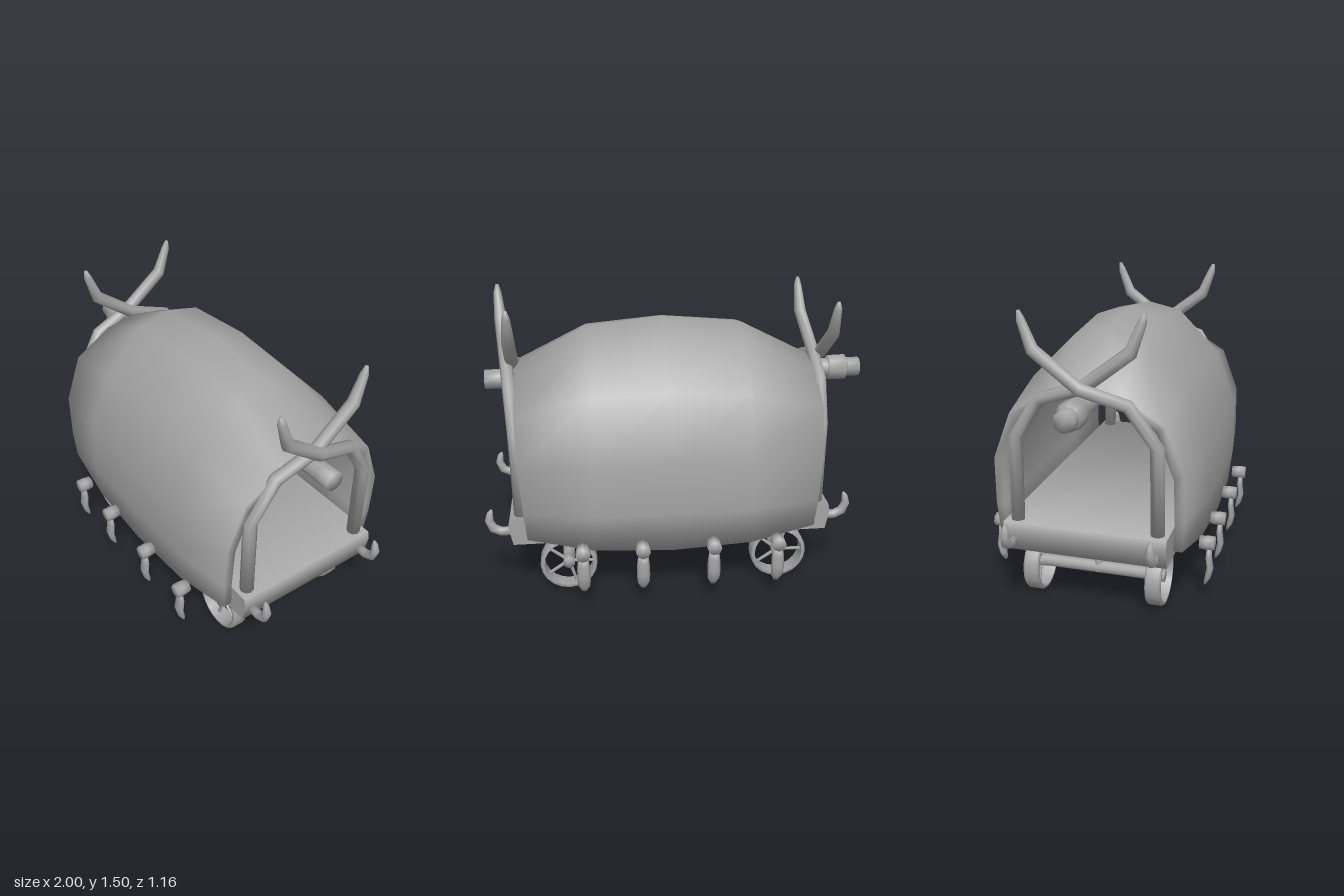
import * as THREE from 'three';
import { mergeGeometries, mergeVertices } from 'three/addons/utils/BufferGeometryUtils.js';

const grey = new THREE.MeshStandardMaterial({ color: 0xa3a3a3 });
const V = (x, y, z) => new THREE.Vector3(x, y, z);
const MID = 0.05; // x about which the two ends mirror

function add(parent, name, geometry) {
  const mesh = new THREE.Mesh(geometry, grey);
  mesh.name = name;
  parent.add(mesh);
  return mesh;
}

// Smooth normals weighted by corner angle, so thin rims count as much as broad faces
function smooth(g) {
  const pos = g.attributes.position, index = g.index.array;
  const sums = Array.from({ length: pos.count }, () => V(0, 0, 0));
  for (let i = 0; i < index.length; i += 3) {
    const ids = [index[i], index[i + 1], index[i + 2]];
    const p = ids.map((id) => V(0, 0, 0).fromBufferAttribute(pos, id));
    const normal = p[1].clone().sub(p[0]).cross(p[2].clone().sub(p[0])).normalize();
    ids.forEach((id, k) => {
      const e = p[(k + 1) % 3].clone().sub(p[k]), f = p[(k + 2) % 3].clone().sub(p[k]);
      sums[id].addScaledVector(normal, e.angleTo(f));
    });
  }
  g.setAttribute('normal', new THREE.Float32BufferAttribute(sums.flatMap((n) => n.normalize().toArray()), 3));
  return g;
}

// Skin over rows of points; closed rows wrap around
function loft(rows, closed) {
  const n = rows[0].length, index = [];
  for (let i = 0; i < rows.length - 1; i++) {
    for (let j = 0; j < (closed ? n : n - 1); j++) {
      const k = (j + 1) % n;
      const a = i * n + j, b = i * n + k, c = a + n, d = b + n;
      index.push(a, b, c, b, d, c);
    }
  }
  return new THREE.BufferGeometry().setFromPoints(rows.flat()).setIndex(index);
}

// Turned solid from [radius, height] pairs, bottom to top
const turned = (profile, sides) =>
  new THREE.LatheGeometry(profile.map(([r, y]) => new THREE.Vector2(r, y)), sides);

// Tapered limb along a bent path; ref is the axis across the bend
function limb(points, radii, ref, squash = 1, sides = 8) {
  const ring = (i, scale) => {
    const p = points[i];
    const before = points[Math.max(i - 1, 0)], after = points[Math.min(i + 1, points.length - 1)];
    const t = after.clone().sub(before).normalize();
    const b = t.clone().cross(ref).normalize();
    const n = b.clone().cross(t);
    return Array.from({ length: sides }, (_, j) => {
      const a = (j / sides) * Math.PI * 2, r = radii[i] * scale;
      return p.clone().addScaledVector(n, Math.cos(a) * r).addScaledVector(b, Math.sin(a) * r * squash);
    });
  };
  const rows = points.map((_, i) => ring(i, 1));
  rows.unshift(ring(0, 0.01));
  rows.push(ring(points.length - 1, 0.01));
  return smooth(loft(rows, true));
}

// Cover: a thick arched shell that bulges in the middle, smooth over its rims
function buildCover() {
  // half sections as [z, y] from the ridge down to the hem
  const middle = [[0, 1.38], [0.18, 1.335], [0.4, 1.1], [0.517, 0.79], [0.517, 0.5], [0.5, 0.29]];
  const quarter = [[0, 1.34], [0.178, 1.3], [0.395, 1.08], [0.51, 0.78], [0.51, 0.5], [0.49, 0.305]];
  const end = [[0, 1.15], [0.17, 1.12], [0.375, 0.995], [0.465, 0.76], [0.47, 0.52], [0.46, 0.37]];
  const stations = [
    { s: end, x: -0.768, lean: 0.035 }, { s: quarter, x: -0.4, lean: 0 }, { s: middle, x: 0, lean: 0 },
    { s: quarter, x: 0.4, lean: 0 }, { s: end, x: 0.768, lean: -0.035 },
  ];
  const section = ({ s, x, lean }, inset) => {
    const half = s.map(([z, y], i) => {
      const down = (s[0][1] - y) / (s[0][1] - s[5][1]);
      return V(MID + x + lean * down * down, y - (i < 5 ? inset * (1 - down) : 0), z * (1 - inset / 0.47));
    });
    const other = half.slice(1).reverse().map((p) => V(p.x, p.y, -p.z));
    return [...other, ...half];
  };
  const outer = stations.map((st) => section(st, 0));
  const inner = stations.map((st) => section(st, 0.045));
  const shell = loft(outer.map((row, i) => [...row, ...[...inner[i]].reverse()]), true);
  const rims = [loft([inner[0], outer[0]]), loft([outer[4], inner[4]])];
  return smooth(mergeVertices(mergeGeometries([shell, ...rims])));
}

// Deck: chamfered ends, rounded shading along its length, flat sides
function buildDeck() {
  const deck = new THREE.Group();
  deck.name = 'deck';
  const outline = [[-0.81, 0.315], [0.81, 0.315], [0.83, 0.42], [0.82, 0.46], [-0.82, 0.46], [-0.83, 0.42]];
  const rows = [-0.405, 0.405].map((z) => outline.map(([x, y]) => V(x, y, z)));
  add(deck, 'deckBoard', smooth(loft(rows, true)));
  const shape = new THREE.Shape(outline.map(([x, y]) => new THREE.Vector2(x, y)));
  for (const turn of [0, Math.PI]) {
    add(deck, 'deckSide', new THREE.ShapeGeometry(shape).translate(0, 0, 0.405).rotateY(turn));
  }
  deck.position.x = MID;
  return deck;
}

// Crossed horn poles and tow hooks at one end; leans are [at the crossing, at the tip]
function buildEnd(leans) {
  const end = new THREE.Group();
  end.name = 'endFrame';
  const path = [[0.35, 0.4], [0.345, 0.89], [0.215, 1.085], [0, 1.155], [-0.22, 1.325], [-0.27, 1.46], [-0.28, 1.5]];
  const radii = [0.035, 0.035, 0.034, 0.034, 0.033, 0.021, 0.008];
  const toCrossing = [0, 0.1, 0.5, 1, 0.25, 0, 0], toTip = [0, 0, 0, 0, 0.75, 1, 1];
  const hook = [[0.8, 0.37], [0.87, 0.37], [0.91, 0.39], [0.928, 0.435], [0.92, 0.475], [0.912, 0.495]];
  [1, -1].forEach((side, s) => {
    const [crossing, tip] = leans[s];
    const points = path.map(([z, y], i) => V(0.765 + crossing * toCrossing[i] + tip * toTip[i], y, z * side));
    add(end, 'hornPole', limb(points, radii, V(1, 0, 0)));
    add(end, 'hook', limb(hook.map(([x, y]) => V(x, y, 0.353 * side)),
      [0.024, 0.024, 0.025, 0.022, 0.016, 0.006], V(0, 0, 1)));
  });
  end.position.x = MID;
  return end;
}

// Spoked wheel, axle along z
function buildWheel() {
  const wheel = new THREE.Group();
  wheel.name = 'wheel';
  const rim = [[0.128, -0.04], [0.142, -0.04], [0.149, -0.03], [0.149, 0.03], [0.142, 0.04], [0.128, 0.04], [0.128, -0.04]];
  add(wheel, 'rim', turned(rim, 20).rotateX(Math.PI / 2));
  add(wheel, 'hub', turned([[0, -0.03], [0.031, -0.03], [0.031, 0.03], [0, 0.03]], 10).rotateX(Math.PI / 2));
  for (let i = 0; i < 5; i++) {
    const spoke = new THREE.CylinderGeometry(0.008, 0.01, 0.13, 6).translate(0, 0.067, 0);
    add(wheel, 'spoke', spoke.rotateZ((i / 5) * Math.PI * 2 + 0.35));
  }
  return wheel;
}

export function createModel() {
  const root = new THREE.Group();
  root.name = 'coveredWagon';
  add(root, 'cover', buildCover());
  root.add(buildDeck());

  // Frames at the two ends
  root.add(buildEnd([[0.02, 0.01], [0.05, 0.09]]));
  const farEnd = buildEnd([[0.035, 0], [0.07, 0.07]]);
  farEnd.rotation.y = Math.PI;
  root.add(farEnd);

  // Ridge beam with a collar at one end
  const beam = [[0, -0.977], [0.05, -0.977], [0.05, -0.9], [0.05, 0.9], [0.05, 1], [0, 1]];
  add(root, 'ridgeBeam', turned(beam, 10).rotateZ(Math.PI / 2)).position.y = 1.07;
  const collar = [[0.048, -0.055], [0.068, -0.045], [0.07, 0.04], [0.048, 0.055]];
  add(root, 'beamCollar', turned(collar, 8).rotateZ(Math.PI / 2)).position.set(-0.88, 1.07, 0);

  // Pegs with hanging tusks along both hems
  const knob = [[0, -0.038], [0.034, -0.038], [0.038, 0], [0.036, 0.036], [0, 0.038]];
  const tusk = [[0.3, 0.55], [0.25, 0.548], [0.19, 0.556], [0.14, 0.546], [0.102, 0.532]];
  for (const side of [1, -1]) {
    for (const x of [-0.46, -0.16, 0.2, 0.53]) {
      const peg = new THREE.Group();
      peg.name = 'peg';
      add(peg, 'pegKnob', turned(knob, 8).rotateX(Math.PI / 2)).position.set(0, 0.327, 0.54);
      add(peg, 'tusk', limb(tusk.map(([y, z]) => V(0, y, z)), [0.025, 0.032, 0.034, 0.031, 0.014], V(1, 0, 0), 0.5));
      peg.rotation.y = side > 0 ? 0 : Math.PI;
      peg.position.x = side > 0 ? x : MID - x;
      root.add(peg);
    }
  }

  // Axles, posts and wheels
  const post = [[0.03, 0.14], [0.02, 0.2], [0.021, 0.255], [0.034, 0.295], [0.036, 0.32]];
  for (const x of [-0.53, 0.587]) {
    add(root, 'axle', new THREE.CylinderGeometry(0.031, 0.031, 0.58, 10).rotateX(Math.PI / 2)).position.set(x, 0.155, 0);
    add(root, 'axlePost', turned(post, 10)).position.x = x;
    for (const side of [1, -1]) {
      const wheel = buildWheel();
      wheel.position.set(x, 0.152, 0.314 * side);
      root.add(wheel);
    }
  }
  return root;
}
